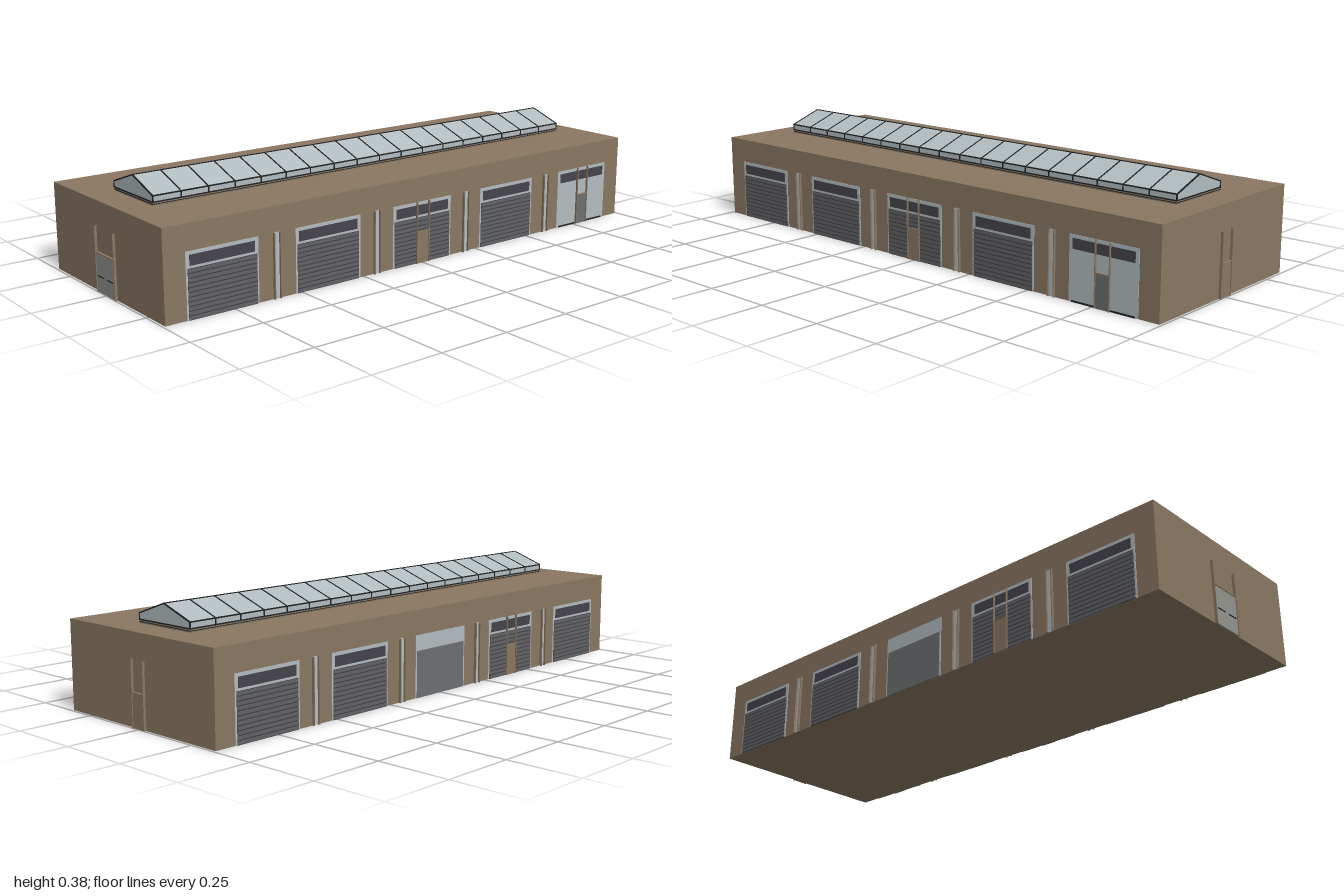
import * as THREE from 'three';

const mat = (name, color, side = THREE.FrontSide) => {
  const m = new THREE.MeshStandardMaterial({ color, side });
  m.name = name;
  return m;
};

export function createModel() {
  const model = new THREE.Group();
  model.name = 'warehouse';
  const brick = mat('brown wall', 0x8a7762);
  const pale = mat('pale panel', 0xb2bcc0);
  const glass = mat('roof glass', 0xb2bcbf, THREE.DoubleSide);
  const bar = mat('dark glazing bar', 0x202426);
  const strip = mat('window strip', 0x45444c);
  const slat = mat('shutter slat', 0x626367);
  const gap = mat('shutter gap', 0x414146);
  const doorGrey = mat('grey door', 0x92938e);
  const doorDark = mat('dark grey door', 0x6c7072);

  const HX = 0.348, HZ = 0.992, H = 0.298;

  const box = (parent, name, material, w, h, d, x, y, z) => {
    const m = new THREE.Mesh(new THREE.BoxGeometry(w, h, d), material);
    m.name = name;
    m.position.set(x, y, z);
    parent.add(m);
    return m;
  };
  const group = (name, parent = model) => {
    const g = new THREE.Group();
    g.name = name;
    parent.add(g);
    return g;
  };
  // Plate on a wall facing local +z: u across, y from y0 to y1, t proud of the wall
  const plate = (g, name, material, u, w, y0, y1, t) =>
    box(g, name, material, w, y1 - y0, t, u, (y0 + y1) / 2, t / 2);

  box(model, 'hall', brick, HX * 2, H, HZ * 2, 0, H / 2, 0);

  // Thin upright fins either side of an opening
  const fins = (g, u, w) => {
    for (const s of [-1, 1]) plate(g, 'fin', brick, u + s * w / 2, 0.003, 0, 0.214, 0.009);
  };
  const door = (g, u, w, h, material) => {
    plate(g, 'door', material, u, w, 0, h, 0.006);
    plate(g, 'lintel', brick, u, w, h, h + 0.003, 0.009);
    fins(g, u, w);
  };

  // Roller shutter bay with a pale surround and a window strip
  const shutterBay = (g, u, hasStrip = true) => {
    plate(g, 'surround', pale, u, 0.256, 0, 0.213, 0.002);
    if (hasStrip) plate(g, 'windowStrip', strip, u, 0.23, 0.168, 0.202, 0.003);
    plate(g, 'shutter', gap, u, 0.244, 0, 0.16, 0.003);
    const n = 11, p = 0.16 / n;
    for (let i = 0; i < n; i++) {
      plate(g, 'slat', slat, u, 0.244, i * p + 0.002, (i + 1) * p - 0.002, 0.004);
    }
  };
  // Pale shopfront bay with an entrance
  const entranceBay = (g, u) => {
    plate(g, 'surround', pale, u, 0.256, 0, 0.213, 0.002);
    plate(g, 'windowStrip', strip, u, 0.23, 0.168, 0.202, 0.003);
    plate(g, 'sill', bar, u, 0.236, 0, 0.006, 0.003);
    door(g, u, 0.053, 0.11, doorDark);
  };
  const slitWindows = (g) => {
    for (const u of [-0.595, -0.198, 0.198, 0.595]) {
      plate(g, 'slitWindow', pale, u, 0.02, 0, 0.214, 0.002);
      for (const s of [-1, 1]) plate(g, 'slitFin', brick, u + s * 0.011, 0.003, 0, 0.214, 0.009);
    }
  };

  // Left wall (+x): local u runs towards -z
  const left = group('leftWallDetails');
  left.position.x = HX;
  left.rotation.y = Math.PI / 2;
  for (const u of [-0.79, -0.395, 0, 0.395]) shutterBay(left, u);
  door(left, 0, 0.053, 0.11, brick);
  entranceBay(left, 0.79);
  slitWindows(left);

  // Right wall (-x): local u runs towards +z
  const right = group('rightWallDetails');
  right.position.x = -HX;
  right.rotation.y = -Math.PI / 2;
  for (const u of [-0.79, -0.395, 0.395, 0.79]) shutterBay(right, u);
  door(right, 0.395, 0.053, 0.11, brick);
  plate(right, 'surround', pale, 0, 0.256, 0, 0.213, 0.002);
  plate(right, 'closedPanel', doorDark, 0, 0.244, 0, 0.16, 0.003);
  slitWindows(right);

  // Front double door with push bars
  const front = group('frontDoor');
  front.position.z = HZ;
  door(front, 0, 0.119, 0.13, doorGrey);
  for (const s of [-1, 1]) plate(front, 'pushBar', bar, s * 0.03, 0.039, 0.053, 0.056, 0.008);

  // Back single door
  const back = group('backDoor');
  back.position.z = -HZ;
  back.rotation.y = Math.PI;
  door(back, 0, 0.056, 0.11, brick);

  // Ridge skylight: kerb, glazed body, glazing bars
  const sky = group('skylight');
  const W = 0.122, L = 0.89, Y0 = 0.31, EAVE = 0.33, RIDGE = 0.373;
  box(sky, 'kerb', brick, W * 2, Y0 - H, L * 2, 0, (Y0 + H) / 2, 0);
  const section = new THREE.Shape([
    [-W, Y0], [W, Y0], [W, EAVE], [0, RIDGE], [-W, EAVE],
  ].map(([x, y]) => new THREE.Vector2(x, y)));
  const body = new THREE.Mesh(
    new THREE.ExtrudeGeometry(section, { depth: L * 2, bevelEnabled: false }), glass);
  body.name = 'glazing';
  body.position.z = -L;
  sky.add(body);

  const T = 0.004;
  for (const [x, y] of [[-W, Y0], [W, Y0], [-W, EAVE], [W, EAVE], [0, RIDGE]]) {
    box(sky, 'longBar', bar, T, T, L * 2 + T, x, y, 0);
  }
  for (const s of [-1, 1]) {
    box(sky, 'kerbLine', bar, T, 0.002, L * 2 + T, s * W, 0.303, 0);
    box(sky, 'endSill', bar, W * 2, T, T, 0, Y0, s * L);
    box(sky, 'endKerbLine', bar, W * 2, 0.002, T, 0, 0.303, s * L);
  }
  const slope = Math.atan2(RIDGE - EAVE, W), run = Math.hypot(RIDGE - EAVE, W);
  const panes = 18;
  for (let i = 0; i <= panes; i++) {
    const z = -L + (2 * L * i) / panes;
    for (const s of [-1, 1]) {
      const rafter = box(sky, 'rafter', bar, run, T, T, s * W / 2, (EAVE + RIDGE) / 2, z);
      rafter.rotation.z = -s * slope;
      box(sky, 'post', bar, T, EAVE - Y0, T, s * W, (EAVE + Y0) / 2, z);
    }
  }
  return model;
}
